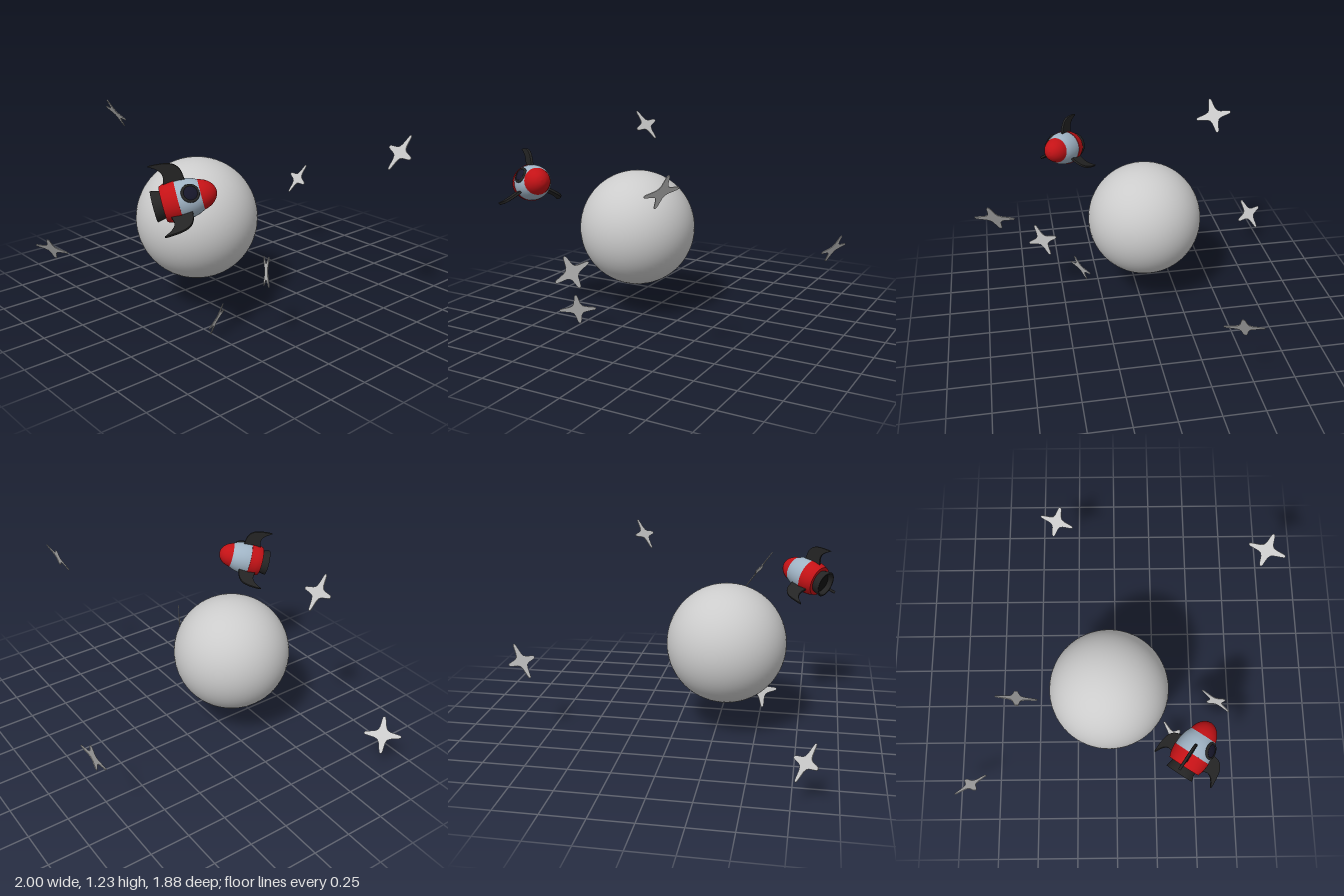
import * as THREE from 'three';

const V = (x, y, z) => new THREE.Vector3(x, y, z);
const paint = (color, side = THREE.FrontSide) => new THREE.MeshStandardMaterial({ color, side });
const grey = paint(0xcccccc);
const red = paint(0xc41216);
const steel = paint(0x9fb3c4);
const dark = paint(0x242424, THREE.DoubleSide);
const black = paint(0x111111);
const glass = paint(0x17172b);

function add(parent, name, geometry, material) {
  const mesh = new THREE.Mesh(geometry, material);
  mesh.name = name;
  parent.add(mesh);
  return mesh;
}

// Turned part from [radius, height] points, smoothed by a spline
function turned(points, steps = 12) {
  const curve = new THREE.SplineCurve(points.map(([r, h]) => new THREE.Vector2(r, h)));
  const profile = curve.getPoints(steps);
  profile.forEach((p) => { p.x = Math.max(p.x, 0); });
  return new THREE.LatheGeometry(profile, 40);
}

// Thin four-pointed star with soft tips and hollow sides
function starGeometry() {
  const points = [];
  for (let i = 0; i < 4; i++) {
    const arm = [[0.09, -0.013], [0.108, -0.008], [0.113, 0], [0.108, 0.008], [0.09, 0.013], [0.03, 0.03]];
    for (const [x, y] of arm) {
      points.push(new THREE.Vector2(x, y).rotateAround(new THREE.Vector2(), i * Math.PI / 2));
    }
  }
  const outline = new THREE.CatmullRomCurve3(points.map((p) => V(p.x, p.y, 0)), true).getPoints(72);
  outline.pop();
  const shape = new THREE.Shape(outline.map((p) => new THREE.Vector2(p.x, p.y)));
  return new THREE.ExtrudeGeometry(shape, { depth: 0.004, bevelEnabled: false }).translate(0, 0, -0.002);
}

// Swept fin, outline in [distance from axis, height]
function finGeometry() {
  const shape = new THREE.Shape();
  shape.moveTo(0.085, 0.185);
  shape.bezierCurveTo(0.13, 0.18, 0.19, 0.19, 0.205, 0.11);
  shape.quadraticCurveTo(0.212, 0.07, 0.212, 0.028);
  shape.bezierCurveTo(0.195, 0.065, 0.165, 0.095, 0.13, 0.085);
  shape.quadraticCurveTo(0.11, 0.08, 0.085, 0.075);
  return new THREE.ExtrudeGeometry(shape, {
    depth: 0.008, bevelEnabled: true, bevelThickness: 0.004, bevelSize: 0.003, bevelSegments: 2, curveSegments: 12,
  }).translate(0, 0, -0.004);
}

function createRocket() {
  const rocket = new THREE.Group();
  rocket.name = 'rocket';

  // Hull bands from tail to nose
  add(rocket, 'lowerHull', turned([[0.093, 0.048], [0.104, 0.08], [0.11, 0.13]]), red);
  add(rocket, 'hullRim', new THREE.RingGeometry(0.07, 0.0935, 40).rotateX(Math.PI / 2).translate(0, 0.048, 0), red);
  add(rocket, 'hullStep', new THREE.RingGeometry(0.1, 0.11, 40).rotateX(-Math.PI / 2).translate(0, 0.13, 0), red);
  add(rocket, 'upperHull', turned([[0.107, 0.128], [0.105, 0.17], [0.095, 0.215], [0.079, 0.25]]), steel);
  add(rocket, 'noseCone', turned([[0.08, 0.248], [0.07, 0.278], [0.052, 0.305], [0.028, 0.323], [0, 0.33]], 24), red);

  // Engine nozzle with recessed inside
  const nozzle = [[0.07, 0.055], [0.082, 0], [0.068, 0], [0.06, 0.03]].map(([r, h]) => new THREE.Vector2(r, h));
  add(rocket, 'nozzle', new THREE.LatheGeometry(nozzle, 40), dark);
  add(rocket, 'nozzleInside', new THREE.CircleGeometry(0.061, 40).rotateX(Math.PI / 2).translate(0, 0.028, 0), black);

  // Three fins around the axis
  const fin = finGeometry();
  for (let i = 0; i < 3; i++) add(rocket, 'fin', fin, dark).rotation.y = i * Math.PI * 2 / 3;

  // Round window between two fins
  const porthole = new THREE.Group();
  porthole.name = 'porthole';
  porthole.rotation.y = Math.PI / 3;
  const frame = new THREE.Group();
  frame.position.set(0.094, 0.198, 0);
  frame.rotation.z = 0.28;
  add(frame, 'windowFrame', new THREE.TorusGeometry(0.041, 0.008, 10, 32).rotateY(Math.PI / 2), dark);
  add(frame, 'windowGlass', new THREE.SphereGeometry(0.041, 24, 16).scale(0.3, 1, 1), glass);
  porthole.add(frame);
  rocket.add(porthole);
  return rocket;
}

// Turn an object so its x axis follows a, and its y axis lies toward b
function orient(object, a, b) {
  const x = a.clone().normalize();
  const z = a.clone().cross(b).normalize();
  object.quaternion.setFromRotationMatrix(new THREE.Matrix4().makeBasis(x, z.clone().cross(x), z));
}

export function createModel() {
  const model = new THREE.Group();
  model.name = 'rocketAndPlanet';

  add(model, 'planet', new THREE.SphereGeometry(0.361, 64, 40), grey).position.set(-0.043, 0.567, 0.306);

  // Stars: position, then the directions of two neighbouring arms
  const stars = [
    [V(-0.535, 1.147, 0.525), V(0.107, -0.02, 0.005), V(0.022, 0.09, 0.067)],
    [V(0.887, 1.03, -0.389), V(0.106, -0.008, 0.04), V(0.022, 0.094, -0.058)],
    [V(-0.38, 0.497, -0.87), V(0.106, -0.008, 0.04), V(0.022, 0.094, -0.058)],
    [V(-0.91, 0.237, 0.818), V(0.09, -0.015, -0.06), V(0.055, 0.083, 0.04)],
    [V(0.616, 0.44, 0.352), V(0.085, -0.048, 0.058), V(0.046, 0.1, 0.024)],
    [V(0.367, 0.112, 0.496), V(0.053, -0.007, 0.097), V(0.04, 0.104, -0.012)],
  ];
  const star = starGeometry();
  for (const [position, a, b] of stars) {
    const mesh = add(model, 'star', star, grey);
    mesh.position.copy(position);
    orient(mesh, a, b);
  }

  // Rocket circling the planet, one fin upright
  const rocket = createRocket();
  const axis = V(0.55, 0.235, -0.8).normalize();
  const up = V(0, 1, 0).addScaledVector(axis, -axis.y);
  orient(rocket, up, axis);
  rocket.position.set(0.34, 0.857, 0.88);
  model.add(rocket);
  return model;
}
